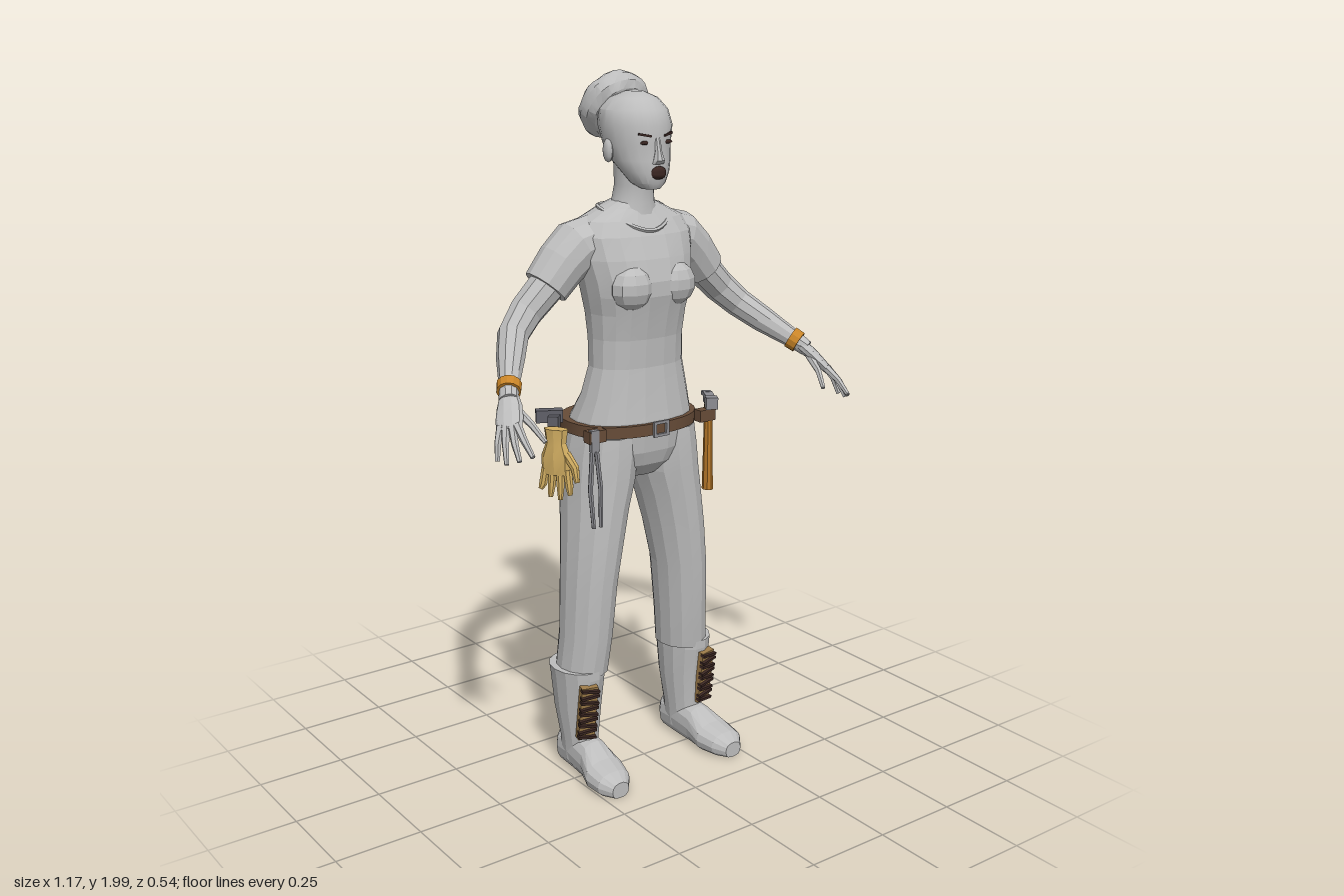
import * as THREE from 'three';
import { toCreasedNormals } from 'three/addons/utils/BufferGeometryUtils.js';

const V = (x, y, z) => new THREE.Vector3(x, y, z);
const X = V(1, 0, 0), Y = V(0, 1, 0), Z = V(0, 0, 1);
const mat = (name, color) => Object.assign(new THREE.MeshStandardMaterial({ color }), { name });

// Capped skin over rings [x, y, z, ru, rv]; ru runs along ref, p squares the ring off.
function loft(rings, { n = 14, ref = X, axis = null, p = 2 } = {}) {
  const c = rings.map(r => V(r[0], r[1], r[2]));
  const pos = [], idx = [], last = rings.length - 1;
  const pw = v => Math.sign(v) * Math.abs(v) ** (2 / p);
  rings.forEach((r, i) => {
    const t = axis ? axis.clone() : c[Math.min(i + 1, last)].clone().sub(c[Math.max(i - 1, 0)]).normalize();
    const u = ref.clone().addScaledVector(t, -ref.dot(t)).normalize();
    const v = t.clone().cross(u);
    for (let j = 0; j < n; j++) {
      const a = (j / n) * Math.PI * 2;
      const q = c[i].clone().addScaledVector(u, pw(Math.cos(a)) * r[3]).addScaledVector(v, pw(Math.sin(a)) * r[4]);
      pos.push(q.x, q.y, q.z);
    }
  });
  for (let i = 0; i < last; i++) for (let j = 0; j < n; j++) {
    const k = (j + 1) % n, a = i * n + j, b = i * n + k;
    idx.push(a, b, b + n, a, b + n, a + n);
  }
  const s = rings.length * n;
  pos.push(...c[0].toArray(), ...c[last].toArray());
  for (let j = 0; j < n; j++) {
    const k = (j + 1) % n;
    idx.push(s, k, j, s + 1, last * n + j, last * n + k);
  }
  const g = new THREE.BufferGeometry();
  g.setAttribute('position', new THREE.Float32BufferAttribute(pos, 3));
  g.setIndex(idx);
  return g;
}

// Upright form from rows [y, halfWidth, zFront, zBack], bottom to top.
const upright = (rows, n, p) =>
  loft(rows.map(([y, w, f, b]) => [0, y, (f + b) / 2, w, (f - b) / 2]), { n, p, axis: Y });

export function createModel() {
  const model = new THREE.Group();
  const grey = mat('pale grey', 0xbdbdbd), brown = mat('belt brown', 0x674c38);
  const dark = mat('dark brown', 0x3a2622), orange = mat('bracelet orange', 0xc98528);
  const handle = mat('handle wood', 0xb97a2a), glove = mat('glove tan', 0xd2ae62);
  const steel = mat('steel', 0x8d8d92), clipGrey = mat('clip grey', 0x606068);
  const brass = mat('lace tan', 0x9c7a48);

  const add = (name, geo, m, crease = 0.1, parent = model) => {
    const mesh = new THREE.Mesh(toCreasedNormals(geo, crease), m);
    mesh.name = name;
    parent.add(mesh);
    return mesh;
  };
  const box = (name, size, at, m, parent = model) => {
    const b = add(name, new THREE.BoxGeometry(...size), m, 0.1, parent);
    b.position.set(...at);
    return b;
  };
  const ball = (name, r, at, m, seg = 12, crease = 0.8) => {
    const b = add(name, new THREE.SphereGeometry(1, seg, Math.ceil(seg * 0.7)).scale(...r), m, crease);
    b.position.set(...at);
    return b;
  };

  // Shirt, neck and trouser seat
  add('shirt', upright([
    [1.0, .19, .062, -.212], [1.05, .182, .064, -.195], [1.12, .162, .056, -.15], [1.2, .143, .05, -.13],
    [1.28, .142, .055, -.137], [1.35, .148, .068, -.15], [1.4, .158, .08, -.16], [1.44, .165, .08, -.167],
    [1.5, .178, .065, -.175], [1.56, .185, .042, -.172], [1.6, .16, .02, -.158], [1.63, .098, .003, -.137],
    [1.648, .06, -.005, -.115]], 18, 2.3), grey);
  add('neck', upright([[1.6, .085, .015, -.13], [1.645, .06, .008, -.112], [1.69, .053, .01, -.105],
    [1.76, .055, .02, -.11]], 14, 2), grey, 0.7);
  add('trouserSeat', upright([[.88, .07, .01, -.15], [.92, .15, .045, -.2], [.96, .19, .058, -.218],
    [1.02, .19, .064, -.208]], 18, 2.3), grey);
  const neckline = [[0, 1.573, .037], [.06, 1.59, .018], [.1, 1.628, -.06], [.06, 1.632, -.125],
    [0, 1.63, -.139], [-.06, 1.632, -.125], [-.1, 1.628, -.06], [-.06, 1.59, .018]];
  add('collar', new THREE.TubeGeometry(
    new THREE.CatmullRomCurve3(neckline.map(q => V(...q)), true), 32, .006, 5, true), grey, 0.7);

  // Head and face
  add('head', upright([
    [1.685, .026, .057, .0], [1.7, .047, .065, -.03], [1.73, .066, .068, -.06], [1.76, .08, .066, -.1],
    [1.8, .089, .062, -.13], [1.85, .097, .066, -.15], [1.89, .09, .05, -.147], [1.92, .063, .022, -.12],
    [1.937, .02, -.015, -.07]], 20, 2), grey, 0.6);
  add('nose', loft([[0, 1.752, .062, .019, .01], [0, 1.762, .066, .017, .016], [0, 1.785, .064, .01, .01],
    [0, 1.82, .058, .009, .008]], { n: 8, axis: Y }), grey, 0.5);
  ball('lips', [.025, .018, .011], [0, 1.729, .066], dark, 10);

  // Coiled hair bun with raised strands
  const bunGeo = new THREE.TorusGeometry(.058, .044, 12, 28);
  const bp = bunGeo.attributes.position;
  for (let i = 0; i < bp.count; i++) {
    const q = V(bp.getX(i), bp.getY(i), bp.getZ(i)), a = Math.atan2(q.y, q.x);
    const core = V(Math.cos(a) * .058, Math.sin(a) * .058, 0), d = q.clone().sub(core);
    d.multiplyScalar(1 + .05 * Math.sin(7 * a + 2 * Math.atan2(d.z, 1e-6 + Math.hypot(q.x, q.y) - .058)));
    bp.setXYZ(i, ...core.add(d).toArray());
  }
  const bun = add('hairBun', bunGeo, grey, 0.4);
  bun.position.set(0, 1.895, -.14);
  bun.rotation.x = Math.PI + .56;
  const bunCore = ball('bunCentre', [.05, .05, .04], [0, 1.895, -.14], grey, 12, 0.4);
  bunCore.rotation.x = Math.PI + .56;

  for (const s of [1, -1]) {
    const side = s > 0 ? 'left' : 'right';
    const part = (name, rings, m = grey, o = {}, crease = 0.1) =>
      add(side + name, loft(rings.map(([x, ...r]) => [x * s, ...r]), o), m, crease);

    // Face details
    ball(side + 'Ear', [.012, .032, .02], [.089 * s, 1.785, -.04], grey, 8);
    ball(side + 'Eye', [.016, .0055, .004], [.037 * s, 1.808, .0545], dark, 8);
    const brow = box(side + 'Brow', [.036, .006, .006], [.038 * s, 1.828, .056], dark);
    brow.rotation.set(0, .35 * s, .18 * s);
    ball(side + 'Bust', [.066, .062, .05], [.07 * s, 1.425, .042], grey, 10, 0.3);

    // Arm
    part('Sleeve', [[.11, 1.545, -.075, .075, .072], [.17, 1.53, -.078, .076, .075], [.215, 1.49, -.08, .07, .07],
      [.266, 1.43, -.083, .064, .064]], grey, { n: 12, ref: Z });
    part('Arm', [[.24, 1.455, -.082, .052, .052], [.33, 1.37, -.083, .046, .047], [.385, 1.318, -.06, .043, .042],
      [.43, 1.272, .0, .038, .038], [.485, 1.218, .08, .025, .027], [.505, 1.195, .11, .027, .022]],
      grey, { n: 10, ref: Z });
    part('Bracelet', [[.478, 1.225, .07, .033, .033], [.492, 1.211, .09, .032, .032]], orange, { n: 12, ref: Z });

    // Hand, with the palm spread from index to little finger
    const across = V(.55 * s, 0, -.83);
    part('Palm', [[.495, 1.205, .095, .024, .019], [.512, 1.18, .125, .034, .018], [.528, 1.155, .15, .037, .015],
      [.54, 1.135, .17, .032, .012]], grey, { n: 10, ref: across });
    [[[.523, 1.147, .178], [.53, 1.118, .222], [.53, 1.085, .262]],
      [[.533, 1.143, .172], [.548, 1.11, .207], [.554, 1.072, .238]],
      [[.545, 1.14, .16], [.562, 1.105, .185], [.573, 1.06, .207]],
      [[.55, 1.142, .145], [.569, 1.105, .16], [.579, 1.062, .172]],
      [[.5, 1.18, .125], [.485, 1.145, .185], [.469, 1.105, .225]]
    ].forEach((f, i) => part(i < 4 ? 'Finger' : 'Thumb',
      f.map((q, k) => [...q, .0125 - k * .003, .0125 - k * .003]), grey, { n: 6, ref: across }));

    // Trouser leg and boot
    part('TrouserLeg', [[.18, .31, -.06, .072, .085], [.17, .42, -.052, .072, .09], [.16, .58, -.05, .076, .098],
      [.144, .7, -.055, .083, .108], [.128, .8, -.065, .089, .12], [.112, .88, -.078, .099, .135],
      [.104, .95, -.08, .1, .138], [.1, 1.01, -.075, .093, .13]], grey, { n: 14, axis: Y });
    part('BootShaft', [[.19, .03, -.06, .045, .065], [.19, .1, -.062, .05, .068], [.191, .2, -.067, .064, .08],
      [.192, .3, -.065, .073, .092], [.193, .325, -.065, .076, .092]], grey, { n: 14, axis: Y });
    const foot = loft([[.19, .05, -.137, .03, .045], [.19, .05, -.12, .042, .055], [.19, .055, -.05, .047, .062],
      [.193, .05, .02, .05, .058], [.2, .035, .08, .064, .044], [.205, .03, .135, .055, .036],
      [.205, .022, .17, .028, .024]].map(([x, ...r]) => [x * s, ...r]), { n: 14, axis: Z, p: 2.3 });
    const fp = foot.attributes.position;
    for (let i = 0; i < fp.count; i++) fp.setY(i, Math.max(0, fp.getY(i)));
    add(side + 'Foot', foot, grey);

    // Lacing on the boot front
    const lacing = new THREE.Group();
    lacing.name = side + 'Lacing';
    lacing.position.set(.212 * s, .205, .013);
    lacing.rotation.set(.14, .2 * s, 0);
    box('lacePanel', [.05, .17, .022], [0, 0, 0], brass, lacing);
    for (let i = 0; i < 9; i++) {
      const bar = box('lace', [.055, .008, .016], [0, -.076 + i * .019, .012], dark, lacing);
      bar.rotation.z = i % 2 ? .12 : -.12;
    }
    model.add(lacing);
  }

  // Belt, buckle and tool loops
  add('belt', upright([[1.013, .2, .076, -.235], [1.046, .2, .076, -.233]], 32, 2.3), brown, 0.4);
  for (const d of [-1, 1]) {
    box('buckleSide', [.009, .044, .008], [d * .021, 1.03, .08], steel);
    box('buckleBar', [.042, .008, .008], [0, 1.03 + d * .018, .08], steel);
    box('toolLoop', [.055, .034, .03], [d * .19, 1.03, .035], brown);
  }

  // Hammer on the left hip
  const shaft = add('hammerHandle', loft([[.2, .805, .035, .015, .018], [.2, .9, .035, .013, .016],
    [.2, 1.06, .035, .011, .013]], { n: 8, axis: Y }), handle, 0.6);
  shaft.position.x = .002;
  const head = new THREE.Group();
  head.name = 'hammerHead';
  head.position.set(.21, 1.072, .028);
  head.rotation.y = 1.05;
  box('hammerBlock', [.05, .028, .026], [0, 0, 0], steel, head);
  box('hammerFace', [.03, .034, .034], [-.045, 0, 0], steel, head);
  box('hammerClaw', [.045, .012, .026], [.045, .005, 0], steel, head).rotation.z = -.15;
  model.add(head);

  // Pliers on the right hip
  for (const d of [-1, 1]) {
    add('pliersHandle', loft([[-.192 + d * .012, .77, .045, .006, .007], [-.197 + d * .017, .88, .045, .007, .008],
      [-.2 + d * .006, 1.0, .045, .007, .008]], { n: 6, axis: Y }), steel, 0.5);
  }
  box('pliersJaw', [.026, .06, .014], [-.2, 1.02, .045], steel);

  // Work glove and its clip, hanging behind the right hip
  const work = new THREE.Group();
  work.name = 'workGlove';
  work.position.set(-.255, 1.0, -.06);
  work.rotation.y = -1.0;
  const gl = (name, rings) => add(name, loft(rings, { n: 8 }), glove, 0.3, work);
  gl('gloveCuff', [[0, .04, 0, .036, .02], [0, 0, 0, .03, .018], [0, -.04, 0, .046, .022], [0, -.09, 0, .044, .016]]);
  for (let i = 0; i < 4; i++) {
    const x = -.033 + i * .022, drop = [.135, .155, .16, .145][i];
    gl('gloveFinger', [[x, -.075, 0, .0125, .013], [x * 1.2, -.12, .004, .012, .012], [x * 1.35, -drop, .01, .007, .007]]);
  }
  gl('gloveThumb', [[.03, -.03, 0, .014, .014], [.058, -.065, .006, .013, .012], [.066, -.105, .01, .008, .008]]);
  model.add(work);
  const clip = box('gloveClip', [.075, .035, .03], [-.235, 1.06, -.125], clipGrey);
  clip.rotation.y = -.5;
  box('clipStrap', [.03, .07, .03], [-.235, 1.03, -.1], clipGrey).rotation.y = -.8;

  // Nail pouch at the back left
  const pouch = new THREE.Group();
  pouch.name = 'nailPouch';
  pouch.position.set(.157, .975, -.217);
  pouch.rotation.y = -.82;
  box('pouchBody', [.095, .09, .052], [0, 0, 0], brown, pouch);
  box('pouchFlap', [.099, .03, .056], [0, .022, 0], brown, pouch);
  for (let i = 0; i < 5; i++) {
    box('nail', [.006, .02, .006], [-.032 + i * .016, .05, i % 2 ? .01 : -.008], steel, pouch);
  }
  model.add(pouch);
  return model;
}
